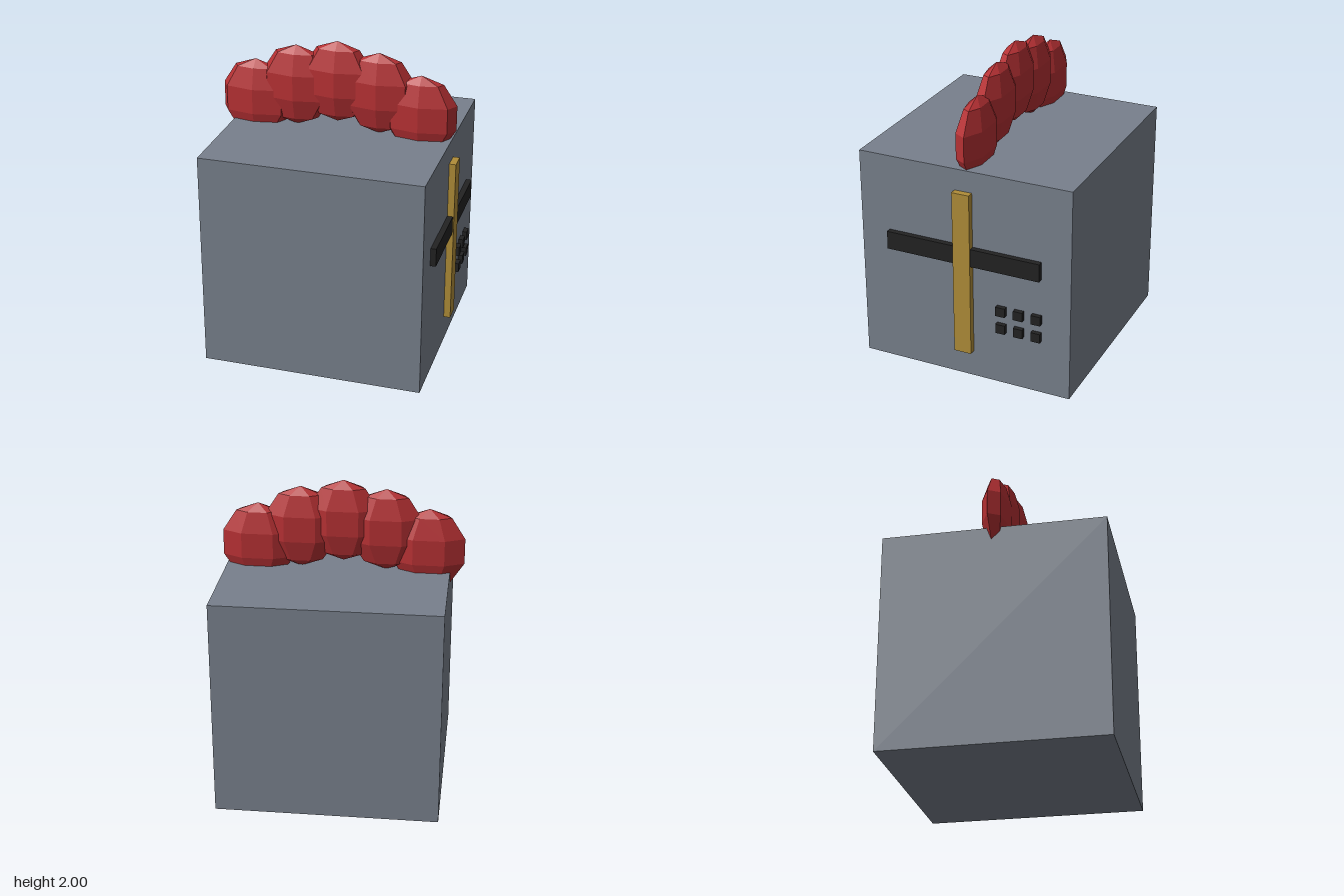
import * as THREE from 'three';

export function createModel() {
  const model = new THREE.Group();
  model.name = 'plumedHelmet';

  const paint = (name, color, flatShading = false) => {
    const m = new THREE.MeshStandardMaterial({ color });
    m.name = name;
    m.flatShading = flatShading;
    return m;
  };
  const steel = paint('steelGrey', 0x78808c);
  const gold = paint('gold', 0xb08d38);
  const black = paint('black', 0x222222);
  const red = paint('plumeRed', 0xb53033, true);

  const box = (name, mat, size, pos, parent = model) => {
    const mesh = new THREE.Mesh(new THREE.BoxGeometry(...size), mat);
    mesh.name = name;
    mesh.position.set(...pos);
    parent.add(mesh);
    return mesh;
  };

  // Cubic helmet shell
  const side = 0.733; // x of the face side
  box('helmetShell', steel, [1.424, 1.424, 1.424], [side - 0.712, 0.712, 0]);

  // Visor slit and vertical ridge, standing proud of the face side
  box('visorSlit', black, [0.036, 0.12, 1.036], [side + 0.018, 0.86, 0]);
  box('faceRidge', gold, [0.043, 1.104, 0.116], [side + 0.0215, 0.732, 0]);

  // Two rows of breathing holes
  const holes = new THREE.Group();
  holes.name = 'breathHoles';
  for (const y of [0.402, 0.523]) {
    for (const z of [-0.254, -0.373, -0.492]) {
      box('breathHole', black, [0.03, 0.062, 0.062], [side + 0.015, y, z], holes);
    }
  }
  model.add(holes);

  // Arched plume of five flattened, faceted tufts
  const tuft = new THREE.SphereGeometry(1, 7, 5);
  tuft.rotateY(Math.PI / 2);
  tuft.scale(0.243, 0.267, 0.094);
  const plume = new THREE.Group();
  plume.name = 'plume';
  [1.563, 1.683, 1.733, 1.683, 1.563].forEach((y, i) => {
    const mesh = new THREE.Mesh(tuft, red);
    mesh.name = 'plumeTuft';
    mesh.position.set(-0.012 + (i - 2) * 0.271, y, 0);
    plume.add(mesh);
  });
  model.add(plume);

  return model;
}
